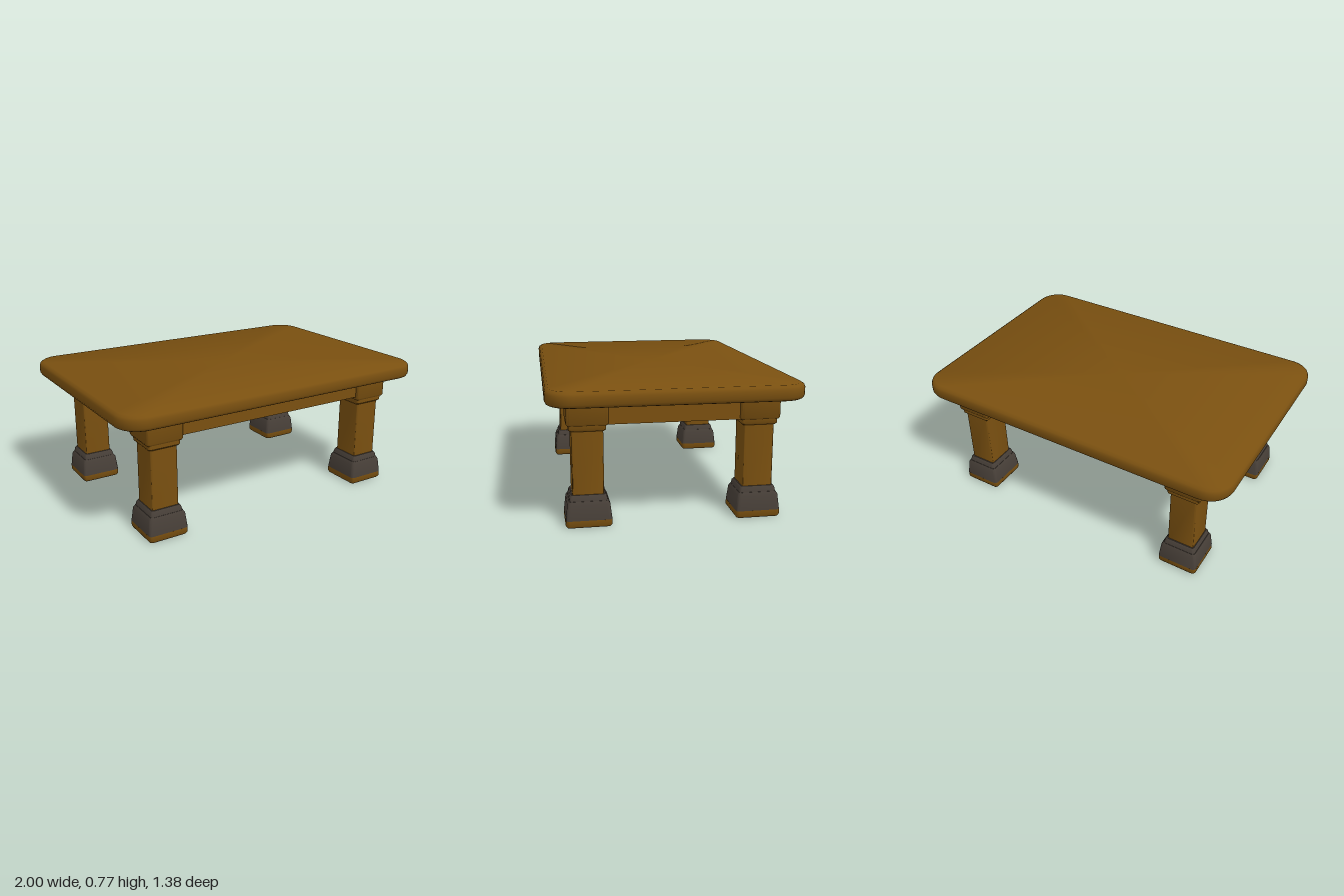
import * as THREE from 'three';
import { toCreasedNormals } from 'three/addons/utils/BufferGeometryUtils.js';

const wood = new THREE.MeshStandardMaterial({ color: 0x7a5010 });
wood.name = 'brown wood';
const iron = new THREE.MeshStandardMaterial({ color: 0x463e37 });
iron.name = 'dark grey';

// Stacks rounded rectangles given as [y, half width, half depth, corner radius]
function loft(sections, steps = 6) {
  const pos = [], idx = [];
  const n = 4 * (steps + 1);
  for (const [y, hx, hz, r] of sections) {
    for (let q = 0; q < 4; q++) {
      const sx = q === 0 || q === 3 ? 1 : -1;
      const sz = q < 2 ? 1 : -1;
      for (let s = 0; s <= steps; s++) {
        const a = (q + s / steps) * Math.PI / 2;
        pos.push(sx * (hx - r) + r * Math.cos(a), y, sz * (hz - r) + r * Math.sin(a));
      }
    }
  }
  const last = sections.length - 1;
  for (let i = 0; i < last; i++) {
    for (let j = 0; j < n; j++) {
      const a = i * n + j, b = i * n + (j + 1) % n;
      idx.push(a, a + n, b, b, a + n, b + n);
    }
  }
  const bottom = pos.length / 3, top = bottom + 1;
  pos.push(0, sections[0][0], 0, 0, sections[last][0], 0);
  for (let j = 0; j < n; j++) {
    const k = (j + 1) % n;
    idx.push(bottom, j, k, top, last * n + k, last * n + j);
  }
  const g = new THREE.BufferGeometry();
  g.setAttribute('position', new THREE.Float32BufferAttribute(pos, 3));
  g.setIndex(idx);
  return toCreasedNormals(g, 0.7);
}

function add(parent, name, geometry, material, x = 0, y = 0, z = 0) {
  const m = new THREE.Mesh(geometry, material);
  m.name = name;
  m.position.set(x, y, z);
  parent.add(m);
  return m;
}

export function createModel() {
  const table = new THREE.Group();
  table.name = 'table';

  // Top with rounded corners and softened edges
  add(table, 'tableTop', loft([
    [0.69, 0.982, 0.675, 0.125], [0.695, 0.992, 0.685, 0.135], [0.71, 1, 0.692, 0.14],
    [0.75, 1, 0.692, 0.14], [0.765, 0.994, 0.686, 0.135], [0.775, 0.978, 0.67, 0.12],
  ], 10), wood);

  // Leg parts, shared by all four corners
  const parts = [
    ['legCap', wood, loft([
      [0.56, 0.104, 0.106, 0.015], [0.57, 0.11, 0.113, 0.018], [0.7, 0.11, 0.113, 0.018]])],
    ['legRing', wood, loft([
      [0.527, 0.088, 0.092, 0.012], [0.535, 0.095, 0.1, 0.015], [0.562, 0.097, 0.101, 0.015]])],
    ['legShaft', wood, loft([[0.16, 0.082, 0.086, 0.012], [0.535, 0.081, 0.086, 0.012]])],
    ['footCollar', iron, loft([
      [0.13, 0.1, 0.107, 0.015], [0.165, 0.094, 0.1, 0.015], [0.176, 0.086, 0.092, 0.012]])],
    ['foot', iron, loft([
      [0.04, 0.12, 0.126, 0.02], [0.125, 0.111, 0.116, 0.02], [0.143, 0.1, 0.106, 0.018]])],
    ['footBand', wood, loft([
      [0.003, 0.115, 0.121, 0.018], [0.012, 0.12, 0.127, 0.022], [0.041, 0.12, 0.126, 0.02]])],
    ['footSole', iron, loft([[0, 0.113, 0.119, 0.018], [0.004, 0.115, 0.121, 0.018]])],
  ];
  for (const sx of [-1, 1]) {
    for (const sz of [-1, 1]) {
      const leg = new THREE.Group();
      leg.name = (sz > 0 ? 'front' : 'back') + (sx > 0 ? 'Left' : 'Right') + 'Leg';
      leg.position.set(sx * 0.722, 0, sz * 0.471);
      for (const [name, material, geometry] of parts) add(leg, name, geometry, material);
      table.add(leg);
    }
  }

  // Aprons between the legs, with grey inner faces
  const longRail = new THREE.BoxGeometry(1.3, 0.115, 0.06);
  const shortRail = new THREE.BoxGeometry(0.06, 0.13, 0.8);
  const longLiner = new THREE.BoxGeometry(1.23, 0.105, 0.006);
  const shortLiner = new THREE.BoxGeometry(0.006, 0.12, 0.72);
  for (const s of [-1, 1]) {
    add(table, s > 0 ? 'frontApron' : 'backApron', longRail, wood, 0, 0.6375, s * 0.535);
    add(table, s > 0 ? 'leftApron' : 'rightApron', shortRail, wood, s * 0.785, 0.627, 0);
    add(table, 'longApronLiner', longLiner, iron, 0, 0.638, s * 0.503);
    add(table, 'shortApronLiner', shortLiner, iron, s * 0.753, 0.628, 0);
  }
  return table;
}
